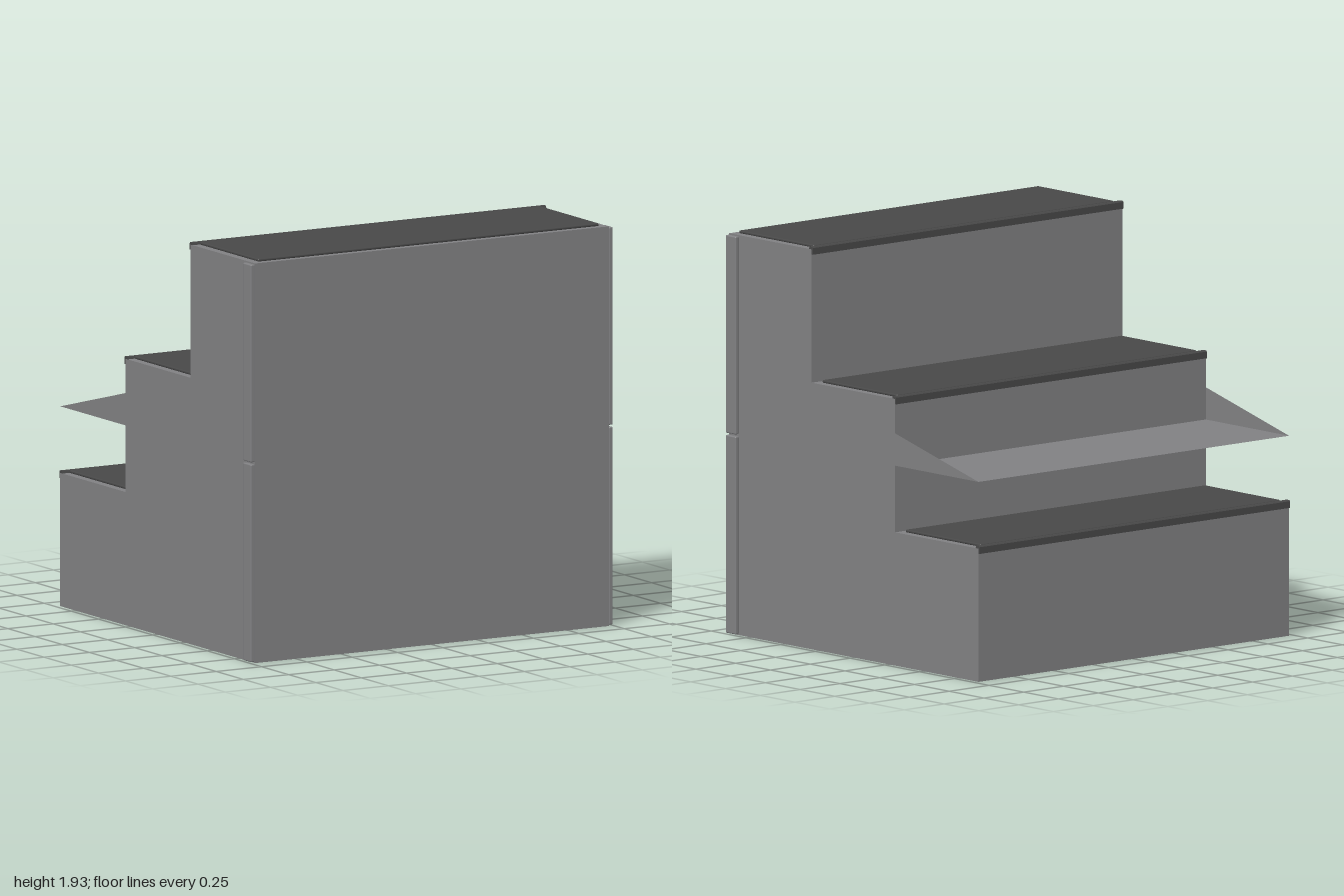
import * as THREE from 'three';
import { RoundedBoxGeometry } from 'three/addons/geometries/RoundedBoxGeometry.js';

const WIDTH = 1.95;

// Side outline given as [z, y] points, extruded across x and centred.
function sideExtrude(points, width) {
  const shape = new THREE.Shape(points.map(([z, y]) => new THREE.Vector2(z, y)));
  const geometry = new THREE.ExtrudeGeometry(shape, { depth: width, bevelEnabled: false });
  geometry.translate(0, 0, -width / 2);
  geometry.rotateY(-Math.PI / 2);
  return geometry;
}

export function createModel() {
  const group = new THREE.Group();
  const grey = new THREE.MeshStandardMaterial({ color: 0x808082 });
  grey.name = 'panelGrey';
  const greySheet = new THREE.MeshStandardMaterial({ color: 0x808082, side: THREE.DoubleSide });
  greySheet.name = 'panelGreySheet';
  const dark = new THREE.MeshStandardMaterial({ color: 0x484848 });
  dark.name = 'treadDark';

  const add = (name, geometry, material, x = 0, y = 0, z = 0) => {
    const mesh = new THREE.Mesh(geometry, material);
    mesh.name = name;
    mesh.position.set(x, y, z);
    group.add(mesh);
    return mesh;
  };

  // Two stacked stair modules
  add('lowerModule', sideExtrude(
    [[0.9, 0], [0.9, 0.96], [-0.295, 0.96], [-0.295, 0.64], [-0.895, 0.64], [-0.895, 0]], WIDTH), grey);
  add('upperModule', sideExtrude(
    [[0.9, 0.96], [0.9, 1.92], [0.305, 1.92], [0.305, 1.28], [-0.295, 1.28], [-0.295, 0.96]], WIDTH), grey);

  // Thin shelf overhanging the bottom step, with triangular side gussets
  const shelf = add('shelf', new THREE.PlaneGeometry(WIDTH, 0.6), greySheet, 0, 0.96, -0.595);
  shelf.rotation.x = -Math.PI / 2;
  const gusset = new THREE.ShapeGeometry(new THREE.Shape([
    new THREE.Vector2(-0.295, 0.96), new THREE.Vector2(-0.295, 1.115), new THREE.Vector2(-0.895, 0.96)]));
  gusset.rotateY(-Math.PI / 2);

  // Treads and nosings on each step: [step height, z of its riser]
  for (const [y, z] of [[0.64, -0.895], [1.28, -0.295], [1.92, 0.305]]) {
    add('tread', new RoundedBoxGeometry(1.88, 0.014, 0.54, 2, 0.006), dark, 0, y + 0.007, z + 0.295);
    add('nosing', sideExtrude([
      [z - 0.008, y - 0.025], [z - 0.008, y + 0.007], [z - 0.003, y + 0.012],
      [z + 0.016, y + 0.012], [z + 0.02, y], [z, y], [z, y - 0.025]], WIDTH), dark);
  }

  // Gussets and corner trims on both sides
  for (const side of [-1, 1]) {
    add('shelfGusset', gusset, greySheet, side * WIDTH / 2);
    for (const y of [0.48, 1.44]) {
      add('cornerTrim', new RoundedBoxGeometry(0.023, 0.95, 0.075, 2, 0.006), grey, side * 0.9875, y, 0.8625);
    }
  }
  return group;
}
